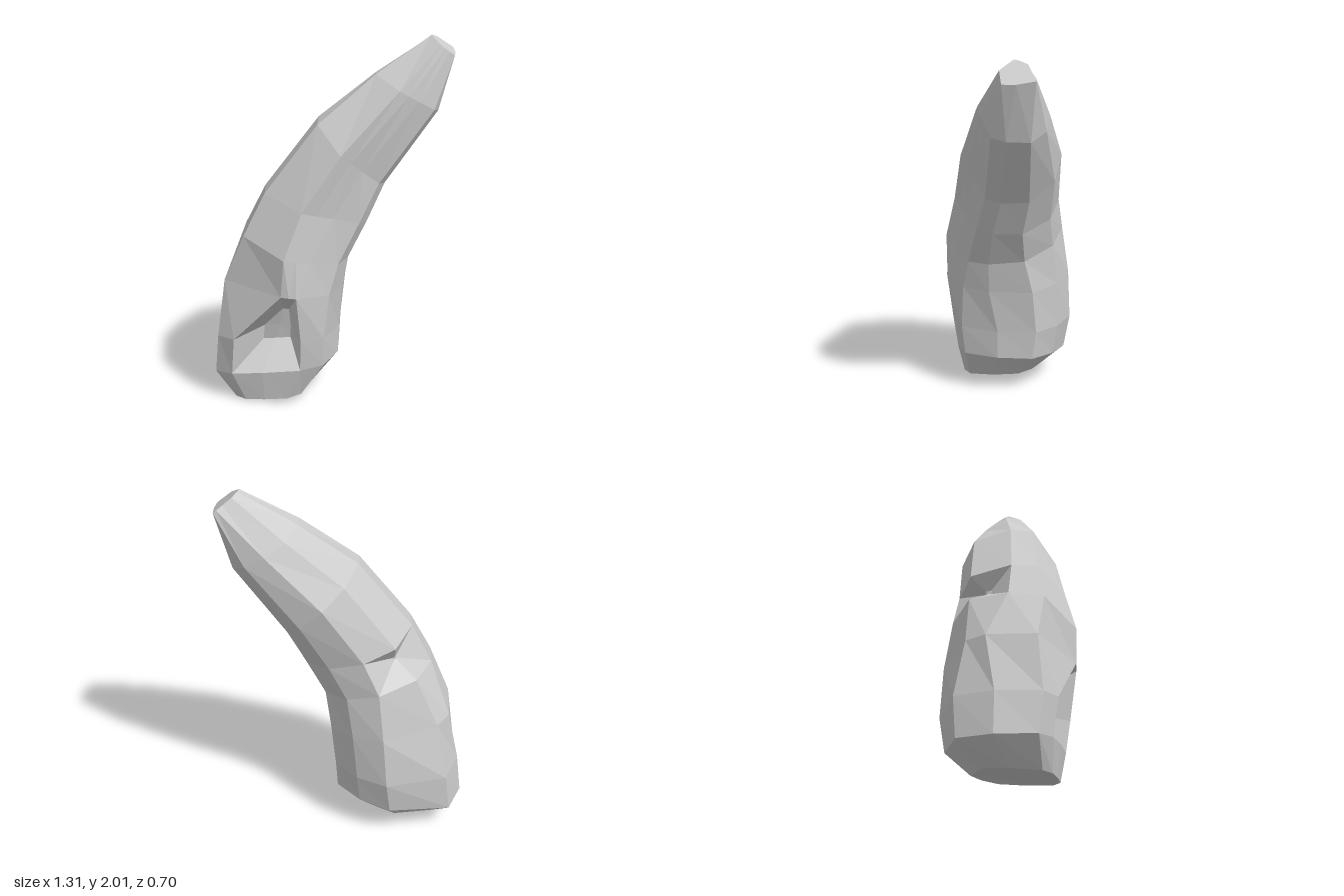
import * as THREE from 'three';

// Cross-section outlines [across, front], running front -> -x -> back -> +x
const TIP = [[-0.1, 1], [-1, 0.35], [-0.93, 0.08], [-0.65, -0.42], [0, -0.72], [0.4, -0.95], [0.65, -1], [0.97, 0], [1, 0.75], [0.6, 0.84], [0.25, 0.92]];
const SLIM = [[-0.1, 1], [-0.9, 0.62], [-1, 0.15], [-0.8, -0.66], [-0.25, -1], [0.42, -0.94], [0.95, -0.5], [1, 0.05], [0.9, 0.38], [0.45, 0.66], [0.15, 0.85]];
const WAIST = [[0.15, 1], [-0.9, 0.6], [-1, -0.15], [-0.85, -0.48], [-0.03, -1], [0.5, -0.88], [0.93, -0.55], [1, 0.15], [0.87, 0.6], [0.4, 0.97], [0.28, 0.99]];
const FULL = [[-0.55, 0.97], [-0.85, 0.8], [-1, 0.1], [-0.88, -0.55], [0.02, -1], [0.52, -0.86], [0.92, -0.55], [1, 0.1], [0.87, 0.75], [0.54, 0.97], [-0.05, 1]];
const OUTLINES = [TIP, SLIM, WAIST, FULL];

// Rings from base to tip: centre x, y, z, half-width vector x, y, half-depth, front-back pitch,
// outline (0 tip, 1 slim, 2 waist, 3 full)
const RINGS = [
  [-0.31, 0.025, 0.04, 0.215, 0.022, 0.22, -0.02, 3],
  [-0.305, 0.175, -0.02, 0.355, 0.045, 0.3, 0, 3],
  [-0.29, 0.37, -0.025, 0.345, 0.01, 0.33, 0, 3],
  [-0.25, 0.655, 0, 0.33, -0.03, 0.345, 0, 2],
  [-0.175, 0.885, 0.02, 0.285, -0.085, 0.33, -0.03, 1.3],
  [-0.07, 1.095, -0.01, 0.28, -0.09, 0.29, 0, 1],
  [0.115, 1.385, -0.07, 0.18, -0.18, 0.27, 0, 1],
  [0.4, 1.7, -0.14, 0.17, -0.1, 0.19, 0.02, 0.8],
  [0.585, 1.95, -0.195, 0.065, -0.05, 0.095, 0, 0],
];

const N = SLIM.length;
const grid = RINGS.map(([cx, cy, cz, ax, ay, rz, pitch, shape]) => {
  const k = Math.min(2, Math.floor(shape));
  return SLIM.map((_, j) => {
    const u = THREE.MathUtils.lerp(OUTLINES[k][j][0], OUTLINES[k + 1][j][0], shape - k);
    const w = THREE.MathUtils.lerp(OUTLINES[k][j][1], OUTLINES[k + 1][j][1], shape - k);
    return new THREE.Vector3(cx + ax * u, cy + ay * u + pitch * w, cz + rz * w);
  });
});

function makeMesh(name, triangles) {
  const geometry = new THREE.BufferGeometry().setFromPoints(triangles);
  geometry.computeVertexNormals();
  const material = new THREE.MeshStandardMaterial({ color: 0xcccccc, flatShading: true, side: THREE.DoubleSide });
  const mesh = new THREE.Mesh(geometry, material);
  mesh.name = name;
  return mesh;
}

function average(points) {
  return points.reduce((sum, p) => sum.add(p), new THREE.Vector3()).divideScalar(points.length);
}

// Sunken hollow: the rim shrinks to a pushed-in loop, closed by a floor
function makeHollow(name, cells, shrink, push) {
  const rim = cells.map(([r, j]) => grid[r][j]);
  const centre = average(rim);
  const inner = rim.map((p) => p.clone().lerp(centre, 1 - shrink).add(push));
  const floor = average(inner);
  const tris = [];
  rim.forEach((p, i) => {
    const k = (i + 1) % rim.length;
    tris.push(p, rim[k], inner[k], p, inner[k], inner[i], inner[i], inner[k], floor);
  });
  return makeMesh(name, tris);
}

export function createModel() {
  const group = new THREE.Group();
  group.name = 'curvedHollowBody';

  // Cells left open for the two hollows
  const isOpen = (r, j) => (j >= 9 && (r === 1 || r === 2)) || (r === 4 && (j === 2 || j === 3));

  // Faceted outer skin
  const skin = [];
  for (let r = 0; r < grid.length - 1; r++) {
    for (let j = 0; j < N; j++) {
      if (isOpen(r, j)) continue;
      const k = (j + 1) % N;
      const a = grid[r][j], b = grid[r][k], c = grid[r + 1][k], d = grid[r + 1][j];
      skin.push(a, d, c, a, c, b);
    }
  }

  // Closed base and tip
  const base = grid[0], tip = grid[grid.length - 1];
  const baseCentre = average(base).setY(0), tipCentre = average(tip);
  for (let j = 0; j < N; j++) {
    const k = (j + 1) % N;
    skin.push(base[j], base[k], baseCentre, tip[k], tip[j], tipCentre);
  }
  group.add(makeMesh('body', skin));

  // Large hollow low on the front
  const frontRim = [[3, 0], [2, 0], [1, 0], [1, 10], [1, 9], [2, 9], [3, 9], [3, 10]];
  group.add(makeHollow('frontHollow', frontRim, 0.4, new THREE.Vector3(-0.01, 0, -0.2)));

  // Smaller, shallow hollow half way up the back
  const backRim = [[5, 2], [5, 3], [5, 4], [4, 4], [4, 3], [4, 2]];
  group.add(makeHollow('backHollow', backRim, 0.15, new THREE.Vector3(0.03, 0, 0.04)));

  // Centre and stand on the ground
  const box = new THREE.Box3().setFromObject(group);
  const mid = box.getCenter(new THREE.Vector3());
  group.position.set(-mid.x, -box.min.y, -mid.z);
  return group;
}
